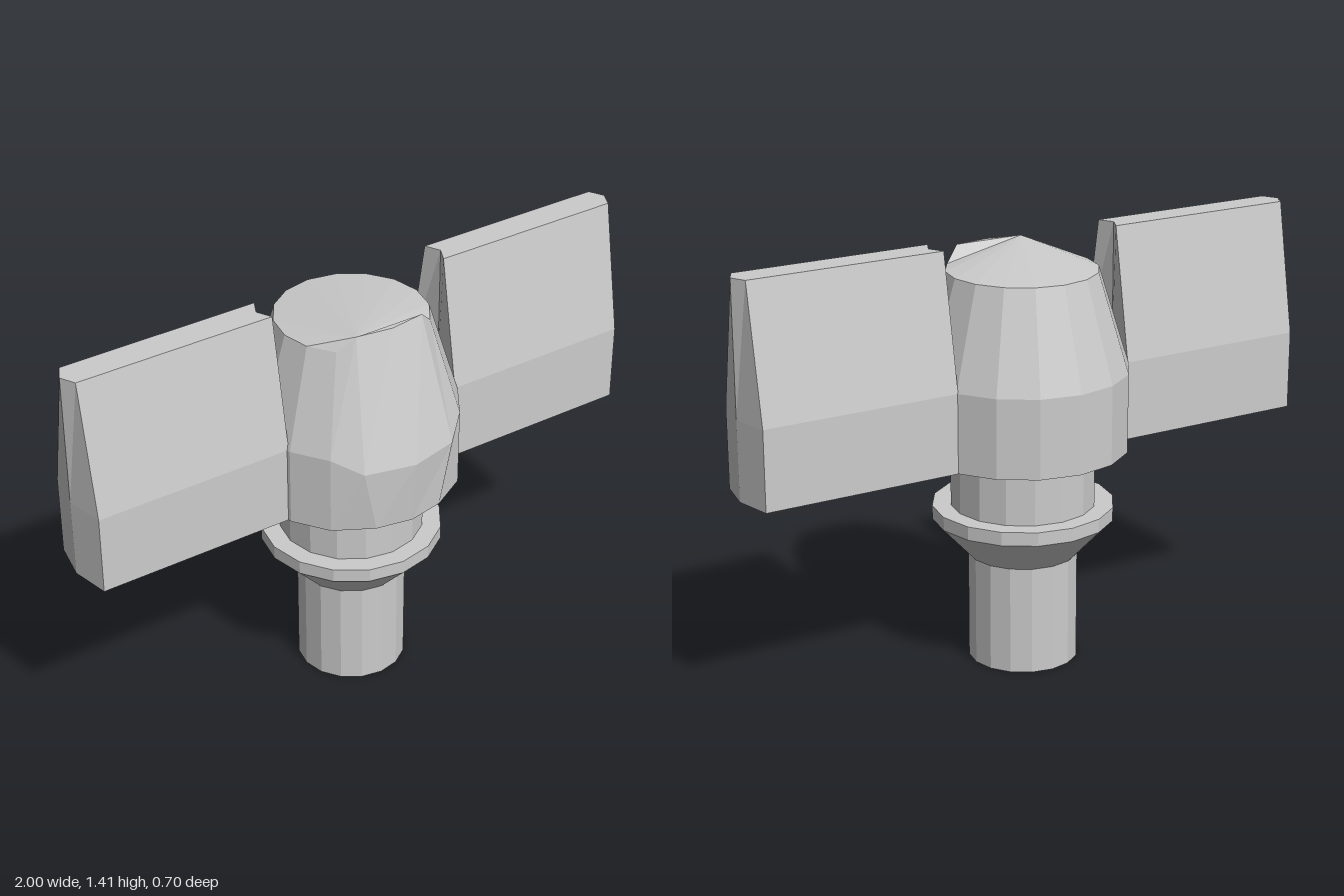
import * as THREE from 'three';

const SIDES = 16;
const material = new THREE.MeshStandardMaterial({ color: 0xcccccc, flatShading: true });

// Closed solid through rings of [x, y, z] points, each counter-clockwise from above
function loft(name, rings) {
  const pos = [];
  const n = rings[0].length;
  const tri = (a, b, c) => pos.push(...a, ...b, ...c);
  for (let r = 0; r < rings.length - 1; r++) {
    const lo = rings[r], hi = rings[r + 1];
    for (let i = 0; i < n; i++) {
      const j = (i + 1) % n;
      tri(lo[i], lo[j], hi[j]);
      tri(lo[i], hi[j], hi[i]);
    }
  }
  const bottom = rings[0], top = rings[rings.length - 1];
  for (let i = 1; i < n - 1; i++) {
    tri(bottom[0], bottom[i + 1], bottom[i]);
    tri(top[0], top[i], top[i + 1]);
  }
  const geo = new THREE.BufferGeometry();
  geo.setAttribute('position', new THREE.Float32BufferAttribute(pos, 3));
  geo.computeVertexNormals();
  const mesh = new THREE.Mesh(geo, material);
  mesh.name = name;
  return mesh;
}

// Polygon ring starting one step to the left of the front
function ring(radius, y, zc = -0.008) {
  return Array.from({ length: SIDES }, (_, k) => {
    const a = ((k - 1) * 2 * Math.PI) / SIDES;
    return [Math.sin(a) * radius, y, Math.cos(a) * radius + zc];
  });
}

// Replace the three front points of a ring
function reshapeFront(points, x, y, zSide, zMid) {
  points[0] = [-x, y, zSide];
  points[1] = [0, y, zMid];
  points[2] = [x, y, zSide];
  return points;
}

// Wing plan: pointed outer end, notched inner end
function wingRing(y, w) {
  return [[0.34, y, 0], [0.315, y, w], [0.975, y, w], [1, y, 0], [0.975, y, -w], [0.315, y, -w]];
}

export function createModel() {
  const group = new THREE.Group();

  // Stem, flared collar and neck
  group.add(loft('stem', [ring(0.18, 0), ring(0.18, 0.36)]));
  group.add(loft('collar', [ring(0.18, 0.36), ring(0.297, 0.485), ring(0.297, 0.53)]));
  group.add(loft('neck', [ring(0.236, 0.53), ring(0.236, 0.725)]));

  // Tapered hub with a dipped shoulder and raised lip at the front
  group.add(loft('hub', [
    reshapeFront(ring(0.345, 0.72, -0.003), 0.12, 0.72, 0.31, 0.333),
    reshapeFront(ring(0.345, 0.98, -0.003), 0.165, 0.935, 0.31, 0.35),
    reshapeFront(ring(0.245, 1.305, -0.004), 0.12, 1.355, 0.198, 0.216),
  ]));

  // Two matching wings
  for (const side of ['left', 'right']) {
    const wing = loft(side + 'Wing', [
      wingRing(0.72, 0.128), wingRing(0.98, 0.128), wingRing(1.413, 0.05),
    ]);
    wing.position.z = -0.01;
    if (side === 'right') wing.rotation.y = Math.PI;
    group.add(wing);
  }
  return group;
}
